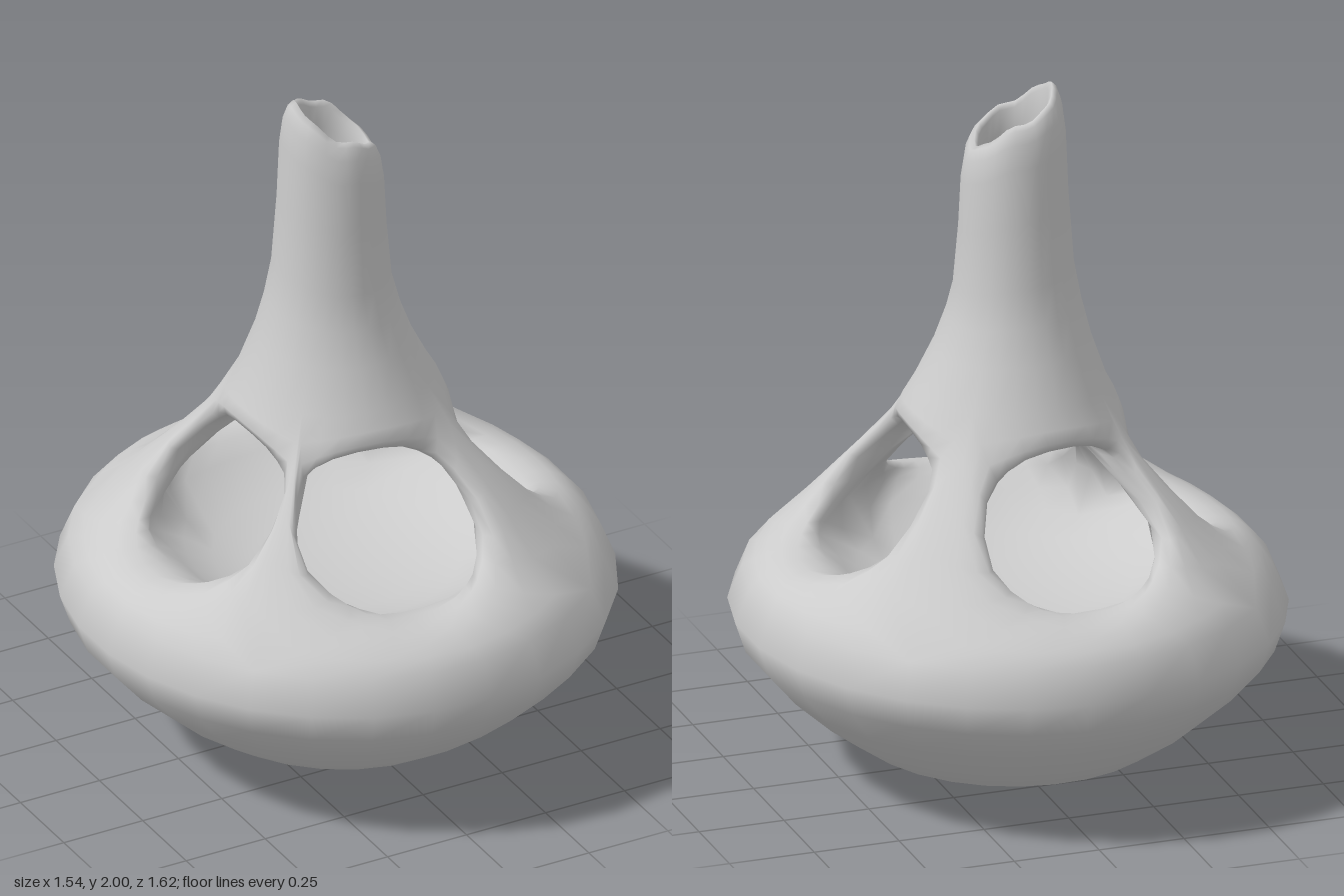
import * as THREE from 'three';
import { mergeVertices } from 'three/addons/utils/BufferGeometryUtils.js';

const { lerp, clamp, degToRad } = THREE.MathUtils;
const LOW = 0.56, HIGH = 1.12; // height of the band holding the windows
const COLS = 7, ROWS = 5;

// [height, outer radius, inner radius] through the window band
const wall = [
  [0.56, 0.735, 0.42], [0.64, 0.665, 0.52], [0.7, 0.595, 0.47], [0.82, 0.497, 0.385],
  [0.92, 0.4, 0.28], [1.0, 0.338, 0.19], [1.12, 0.272, 0.115],
];
// axis, sector start and end in degrees; sideways centre and half width of the opening
const windows = [
  { axis: 0, from: -48, to: 42, mid: -0.05, half: 0.265 },
  { axis: 90, from: 42, to: 138, mid: -0.015, half: 0.265 },
  { axis: 180, from: 138, to: 228, mid: 0.05, half: 0.265 },
  { axis: 270, from: 228, to: 312, mid: 0.015, half: 0.263 },
];

// Wall radius at height y; w runs from 0 (outside) to 1 (inside)
function wallRadius(y, w) {
  let i = 0;
  while (i < wall.length - 2 && y > wall[i + 1][0]) i++;
  const [a, b] = [wall[i], wall[i + 1]];
  const t = clamp((y - a[0]) / (b[0] - a[0]), 0, 1);
  return lerp(lerp(a[1], b[1], t), lerp(a[2], b[2], t), w);
}

// Body is slightly deeper than wide, neck leans a little to one side
function place(angle, r, y) {
  const depth = 1 + 0.05 * clamp((1 - y) / 0.4, 0, 1);
  const lean = -0.015 * clamp((y - 0.9) / 0.5, 0, 1);
  return [r * Math.sin(angle) + lean, y, r * Math.cos(angle) * depth];
}

// Skin closed loops of points in order
function loft(out, loops) {
  for (let j = 0; j < loops.length - 1; j++) {
    const n = loops[j].length;
    for (let k = 0; k < n; k++) {
      const a = loops[j][k], b = loops[j][(k + 1) % n];
      const c = loops[j + 1][(k + 1) % n], d = loops[j + 1][k];
      out.push(...a, ...b, ...c, ...a, ...c, ...d);
    }
  }
}

// One quarter of the band: outer skin, straight-sided window edge, inner skin
function windowLoops({ axis, from, to, mid, half }) {
  const square = [];
  for (let i = 0; i < COLS; i++) square.push([i / COLS * 2 - 1, -1]);
  for (let i = 0; i < ROWS; i++) square.push([1, i / ROWS * 2 - 1]);
  for (let i = 0; i < COLS; i++) square.push([1 - i / COLS * 2, 1]);
  for (let i = 0; i < ROWS; i++) square.push([-1, 1 - i / ROWS * 2]);

  const steps = [[0, 0], [0.4, 0], [0.7, 0.04], [0.9, 0.18], [1, 0.45],
    [0.97, 0.75], [0.8, 0.95], [0.4, 1], [0, 1]];
  return steps.map(([u, w]) => square.map(([sx, sy]) => {
    const f = Math.atan2(sy, sx);
    const holeY = 0.785 + (sy > 0 ? 0.225 : 0.145) * Math.sin(f);
    const side = (mid + half * Math.cos(f)) / wallRadius(holeY, Math.max(w, 0.3));
    const holeAngle = clamp(degToRad(axis) + Math.asin(clamp(side, -0.99, 0.99)),
      degToRad(from + 3), degToRad(to - 3));
    const edgeAngle = degToRad(lerp(from, to, (sx + 1) / 2));
    const y = lerp(lerp(LOW, HIGH, (sy + 1) / 2), holeY, u);
    return place(lerp(edgeAngle, holeAngle, u), wallRadius(y, w), y);
  }));
}

export function createModel() {
  const group = new THREE.Group();
  const out = [];
  const angles = windows.flatMap(({ from, to }) =>
    Array.from({ length: COLS }, (_, i) => degToRad(lerp(from, to, i / COLS))));
  const ring = (r, y) => angles.map((a) => place(a, r, y));

  // Rounded underside
  loft(out, [[0, 0], [0.16, 0.012], [0.31, 0.04], [0.43, 0.085], [0.55, 0.17], [0.66, 0.27],
    [0.745, 0.37], [0.775, 0.46], [0.735, LOW]].map(([r, y]) => ring(r, y)));

  // Four windows with the struts between them
  for (const w of windows) loft(out, windowLoops(w));

  // Shallow bowl floor inside the body
  loft(out, [[0.42, LOW], [0.34, 0.52], [0.24, 0.49], [0.12, 0.475], [0, 0.47]]
    .map(([r, y]) => ring(r, y)));

  // Hollow neck, up the outside and down the bore, ending in an uneven broken rim
  const rim = (a) => 1.915 - 0.07 * Math.sin(a) - 0.015 * Math.cos(a)
    + 0.012 * Math.sin(3 * a) + 0.005 * Math.sin(7 * a + 1.2);
  const neck = [[0, 0.272], [0.15, 0.222], [0.28, 0.19], [0.41, 0.168], [0.65, 0.153],
    [0.85, 0.146], [0.94, 0.136], [0.985, 0.122], [1, 0.108], [0.98, 0.098], [0.9, 0.094],
    [0.65, 0.094], [0.3, 0.096], [0.15, 0.1], [0, 0.115]];
  loft(out, neck.map(([s, r]) => angles.map((a) => place(a, r, lerp(HIGH, rim(a), s)))));

  let geometry = new THREE.BufferGeometry();
  geometry.setAttribute('position', new THREE.Float32BufferAttribute(out, 3));
  geometry = mergeVertices(geometry, 1e-4);
  geometry.computeVertexNormals();

  const vessel = new THREE.Mesh(geometry, new THREE.MeshStandardMaterial({ color: 0xcccccc }));
  vessel.name = 'windowedVessel';
  group.add(vessel);
  return group;
}
